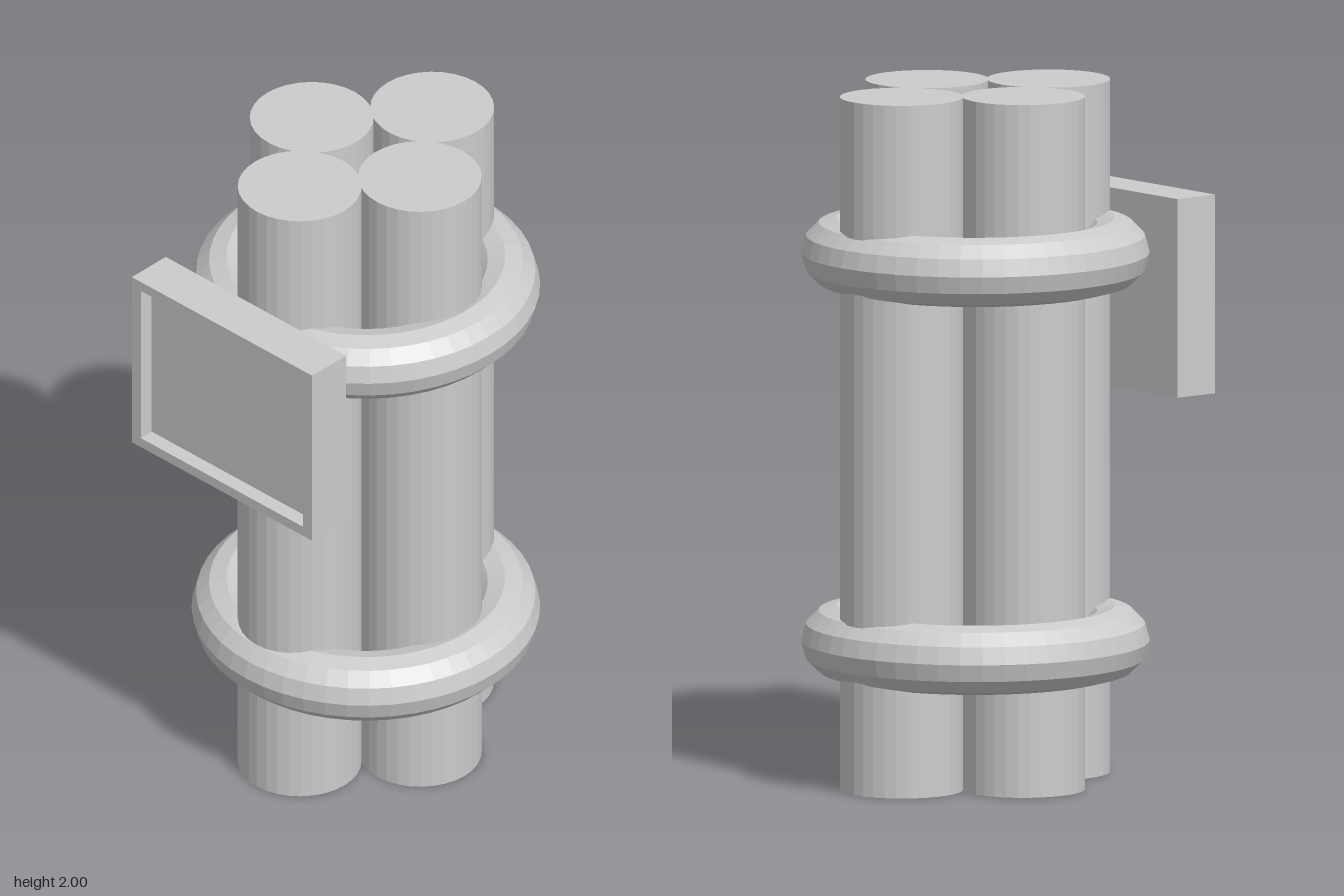
import * as THREE from 'three';

export function createModel() {
  const model = new THREE.Group();
  const material = new THREE.MeshStandardMaterial({ color: 0xcccccc, flatShading: true });

  const add = (parent, name, geometry, x, y, z) => {
    const mesh = new THREE.Mesh(geometry, material);
    mesh.name = name;
    mesh.position.set(x, y, z);
    parent.add(mesh);
    return mesh;
  };

  // Four upright sticks in a diamond bundle
  const sticks = new THREE.Group();
  sticks.name = 'sticks';
  model.add(sticks);
  const stick = new THREE.CylinderGeometry(0.177, 0.177, 2, 32);
  for (const [name, x, z] of [
    ['frontStick', -0.004, 0.222],
    ['backStick', -0.004, -0.325],
    ['leftStick', 0.211, -0.05],
    ['rightStick', -0.217, -0.05],
  ]) add(sticks, name, stick, x, 1, z);

  // Two rings that bind the bundle
  const ring = new THREE.TorusGeometry(0.398, 0.1, 12, 48).rotateX(Math.PI / 2);
  add(model, 'lowerBand', ring, 0, 0.405, -0.047);
  add(model, 'upperBand', ring, 0, 1.525, -0.047);

  // Display box on the front: solid back with a raised rim around the recessed screen
  const display = new THREE.Group();
  display.name = 'display';
  display.position.set(-0.002, 1.388, 0);
  model.add(display);

  const rectangle = (path, w, h) => path
    .moveTo(-w / 2, -h / 2).lineTo(w / 2, -h / 2)
    .lineTo(w / 2, h / 2).lineTo(-w / 2, h / 2).closePath();
  const width = 0.713, height = 0.574, recess = 0.045;
  const rim = rectangle(new THREE.Shape(), width, height);
  rim.holes.push(rectangle(new THREE.Path(), 0.642, 0.512));

  add(display, 'displayBody', new THREE.BoxGeometry(width, height, 0.095), 0, 0, 0.4525);
  add(display, 'displayRim',
    new THREE.ExtrudeGeometry(rim, { depth: recess, bevelEnabled: false }), 0, 0, 0.5);

  return model;
}
